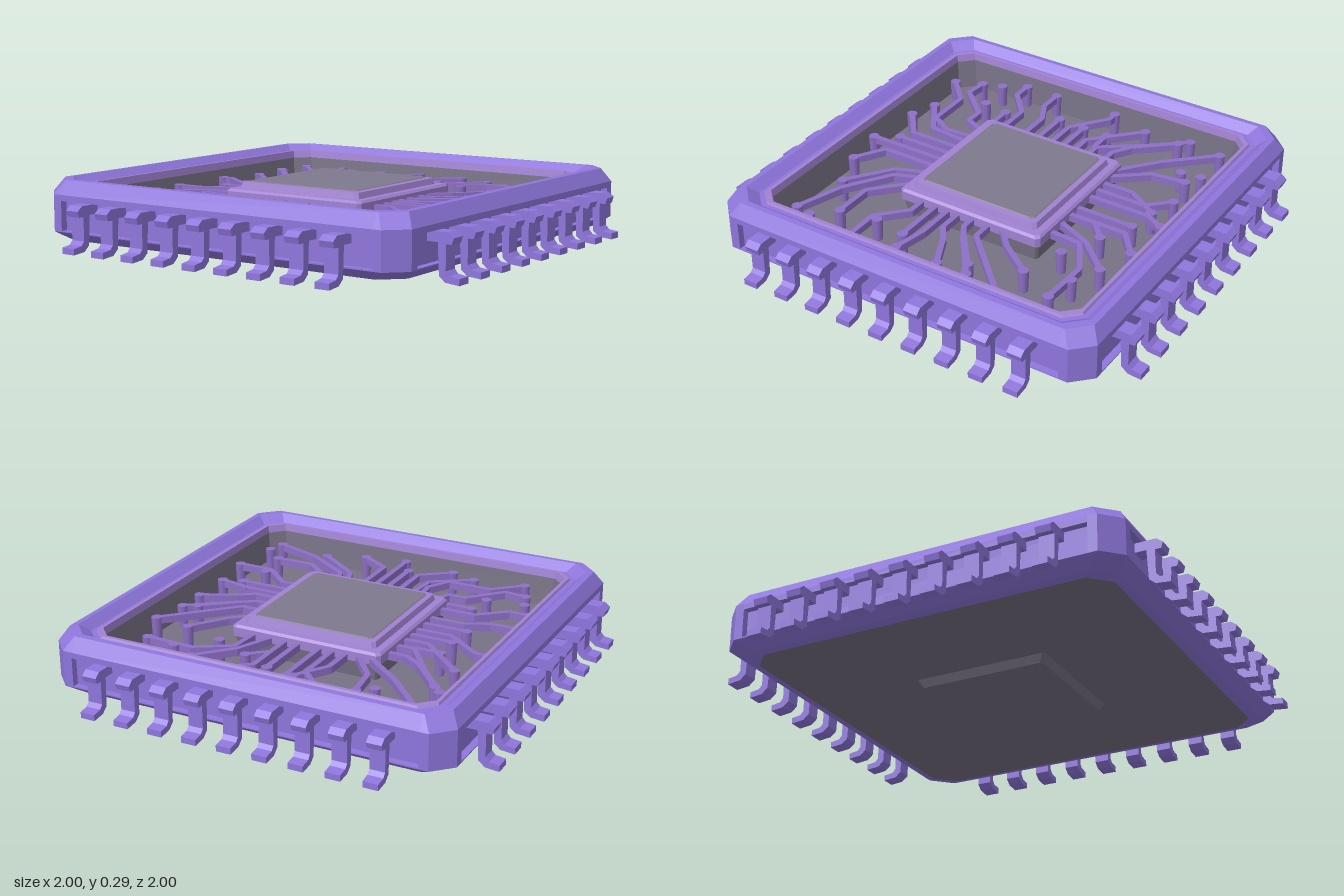
import * as THREE from 'three';

const mat = (name, color, extra = {}) => {
  const m = new THREE.MeshStandardMaterial({ color, ...extra });
  m.name = name;
  return m;
};

// Square loop with chamfered corners; each side may be notched inward between +-0.77
function loop(h, y, c, notch = 0) {
  const pts = [];
  const a = h - c, b = Math.min(0.77, a);
  const side = [[-a, h], [-b, h], [-b, h - notch], [b, h - notch], [b, h], [a, h]];
  for (let k = 0; k < 4; k++) {
    for (const [x0, z0] of side) {
      let x = x0, z = z0;
      for (let i = 0; i < k; i++) [x, z] = [z, -x];
      pts.push([x, y, z]);
    }
  }
  return pts;
}

// Flat-faced skin through a list of loops [half size, height, chamfer, notch]
function loft(sections) {
  const loops = sections.map((s) => loop(...s));
  const pos = [];
  for (let j = 0; j + 1 < loops.length; j++) {
    const lo = loops[j], up = loops[j + 1];
    for (let i = 0; i < lo.length; i++) {
      const n = (i + 1) % lo.length;
      pos.push(...lo[i], ...lo[n], ...up[n], ...lo[i], ...up[n], ...up[i]);
    }
  }
  const g = new THREE.BufferGeometry();
  g.setAttribute('position', new THREE.Float32BufferAttribute(pos, 3));
  g.computeVertexNormals();
  return g;
}

// Trace paths in hundredths of a unit: x, z from the outer pad to the core
const TOP = [
  [-37, -71, -37, -62, -27, -50, -27, -34], [-21, -71, -21, -60, -16, -50, -16, -34],
  [-9, -54, -9, -34], [10, -71, 10, -66, -2, -50, -2, -34], [4, -53, 4, -34],
  [29, -65, 10, -45, 10, -34], [50, -68, 35, -55, 17, -42, 17, -34],
  [46, -64, 30, -50, 25, -42, 25, -34], [16, -53, 16, -42], [-33, -46, -33, -34],
];
const BOTTOM = [
  [-34, 70, -34, 54, -23, 42, -23, 34], [-16, 58, -16, 34], [-13, 67, -10, 52, -10, 34],
  [7, 67, 0, 52, -5, 45, -5, 34], [21, 67, 7, 48, 2, 40, 2, 34],
  [37, 70, 20, 53, 10, 43, 10, 34], [39, 53, 24, 42, 17, 34], [18, 61, 6, 46],
];
const LEFT = [
  [-68, -57, -57, -45, -57, -25, -47, -19, -34, -20], [-56, -62, -57, -52, -43, -39, -43, -31, -34, -27],
  [-64, -34, -53, -17, -34, -15], [-68, -22, -58, -9, -34, -9], [-61, -3, -34, -3],
  [-71, 3, -34, 3], [-68, 22, -60, 9, -34, 9], [-61, 39, -47, 20, -34, 15],
  [-65, 65, -58, 44, -45, 24, -34, 20], [-48, 58, -48, 40, -34, 25],
];
const RIGHT = [
  [66, -65, 47, -47, 34, -31], [63, -38, 48, -36, 34, -25], [66, -22, 57, -13, 34, -13],
  [62, -10, 48, -19, 34, -19], [70, -3, 62, -7, 34, -7], [60, 3, 34, 3],
  [69, 20, 60, 9, 34, 9], [64, 36, 50, 23, 34, 16], [56, 62, 57, 40, 48, 25, 34, 24], [53, 17, 46, 9],
];
const LOOSE_PADS = [[-47, -65], [-45, -48], [-57, 67], [-31, 55], [45, 34], [58, 48], [58, -44], [67, -45]];

export function createModel() {
  const model = new THREE.Group();
  model.name = 'microchip';
  const purple = mat('violet casing', 0x8f76dc);
  const pink = mat('mauve rim', 0xa082d2);
  const wire = mat('trace violet', 0x8d70c6);
  const gray = mat('board gray', 0x767184);
  const coreGray = mat('core gray', 0x7f788f);
  const FLOOR = 0.11;

  const add = (name, geo, material, parent = model) => {
    const m = new THREE.Mesh(geo, material);
    m.name = name;
    parent.add(m);
    return m;
  };

  // Casing: grooved outer wall, bevelled top, then down into the well
  add('casing', loft([
    [0.80, 0.033, 0.08], [0.835, 0.04, 0.085], [0.89, 0.08, 0.08],
    [0.89, 0.085, 0.08], [0.89, 0.085, 0.08, 0.03], [0.89, 0.21, 0.08, 0.03], [0.89, 0.21, 0.08],
    [0.89, 0.235, 0.08], [0.855, 0.293, 0.08], [0.83, 0.295, 0.08], [0.79, 0.262, 0.07], [0.77, 0.262, 0.06],
  ]), purple);
  add('innerLip', loft([
    [0.77, 0.262, 0.06], [0.765, 0.272, 0.06], [0.75, 0.272, 0.06], [0.745, 0.24, 0.06],
  ]), pink);
  add('wellWall', loft([[0.745, 0.24, 0.06], [0.73, FLOOR, 0.06]]), gray);
  add('boardFloor', loft([[0.74, FLOOR, 0.06], [0.001, FLOOR, 0]]), gray);

  // Underside and its raised pad
  add('underside', loft([[0.001, 0.033, 0], [0.80, 0.033, 0.08]]), gray);
  add('bottomPad', loft([[0.001, 0, 0], [0.28, 0, 0.01], [0.30, 0.035, 0.01]]), gray);

  // Central core with stepped rim
  add('coreBase', loft([[0.325, FLOOR, 0.01], [0.335, 0.18, 0.01]]), gray);
  add('coreRim', loft([
    [0.325, 0.175, 0.01], [0.345, 0.185, 0.015], [0.345, 0.225, 0.015], [0.335, 0.235, 0.015],
    [0.305, 0.235, 0.015], [0.298, 0.26, 0.015], [0.276, 0.262, 0.015],
  ]), pink);
  add('coreTop', loft([[0.276, 0.262, 0.015], [0.27, 0.266, 0.015], [0.001, 0.266, 0]]), coreGray);

  // Bent legs, nine per side
  const profile = [[0.84, 0.21], [0.95, 0.21], [0.975, 0.19], [0.967, 0.165], [0.942, 0.165], [0.942, 0.065],
    [0.957, 0.048], [1, 0.042], [1, 0.016], [0.94, 0.022], [0.913, 0.045], [0.907, 0.17], [0.84, 0.17]];
  const legGeo = new THREE.ExtrudeGeometry(
    new THREE.Shape(profile.map((p) => new THREE.Vector2(...p))), { depth: 0.065, bevelEnabled: false });
  legGeo.translate(0, 0, -0.0325);
  for (let k = 0; k < 4; k++) {
    const row = new THREE.Group();
    row.name = 'legRow';
    row.rotation.y = k * Math.PI / 2;
    for (let i = -4; i <= 4; i++) add('leg', legGeo, purple, row).position.z = i * 0.157;
    model.add(row);
  }

  // Traces: bars between path points, round joints, posts under the outer ends
  const traces = new THREE.Group();
  traces.name = 'traces';
  model.add(traces);
  const TY = 0.195, W = 0.024;
  const joint = new THREE.CylinderGeometry(W / 2, W / 2, 0.03, 8);
  const post = new THREE.CylinderGeometry(0.024, 0.02, 0.1, 8);
  const addPost = (x, z) => add('pad', post, wire, traces).position.set(x, FLOOR + 0.05, z);
  for (const path of [...TOP, ...BOTTOM, ...LEFT, ...RIGHT]) {
    const p = path.map((v) => v / 100);
    addPost(p[0], p[1]);
    for (let i = 0; i + 3 < p.length; i += 2) {
      const dx = p[i + 2] - p[i], dz = p[i + 3] - p[i + 1];
      const bar = add('trace', new THREE.BoxGeometry(Math.hypot(dx, dz), 0.03, W), wire, traces);
      bar.position.set(p[i] + dx / 2, TY, p[i + 1] + dz / 2);
      bar.rotation.y = -Math.atan2(dz, dx);
      add('joint', joint, wire, traces).position.set(p[i + 2], TY, p[i + 3]);
    }
  }
  for (const [x, z] of LOOSE_PADS) addPost(x / 100, z / 100);

  return model;
}
